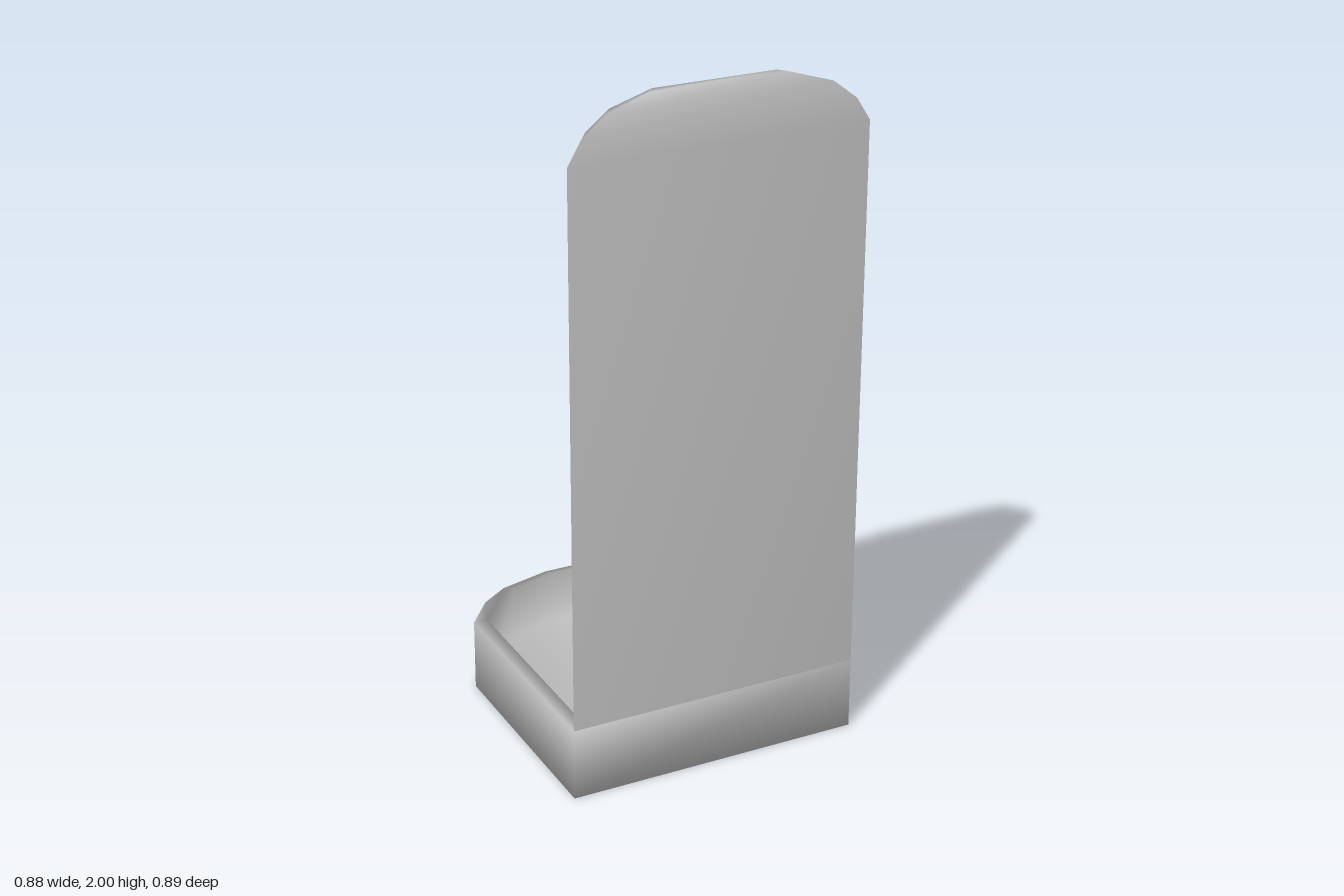
import * as THREE from 'three';

// Skin a stack of rings (anticlockwise seen from above), optionally capped at the start; always capped at the end.
function loft(rings, capStart) {
  const n = rings[0].length, pos = rings.flat(2), idx = [];
  const addCentre = (p) => { pos.push(...p); return pos.length / 3 - 1; };
  const mean = (ring) => [0, 1, 2].map((k) => ring.reduce((s, p) => s + p[k], 0) / n);
  for (let r = 0; r < rings.length - 1; r++) {
    for (let i = 0; i < n; i++) {
      const j = (i + 1) % n;
      const a = r * n + i, b = r * n + j, c = a + n, d = b + n;
      idx.push(a, b, d, a, d, c);
    }
  }
  const last = (rings.length - 1) * n;
  const end = addCentre(mean(rings[rings.length - 1]));
  const start = capStart ? addCentre(mean(rings[0])) : -1;
  for (let i = 0; i < n; i++) {
    const j = (i + 1) % n;
    idx.push(last + i, last + j, end);
    if (capStart) idx.push(j, i, start);
  }
  const g = new THREE.BufferGeometry();
  g.setAttribute('position', new THREE.Float32BufferAttribute(pos, 3));
  g.setIndex(idx);
  g.computeVertexNormals();
  return g;
}

// Mirror a half outline (right half, front to back) into a closed ring at height y
function ring(half, y) {
  const other = half.map(([x, z]) => [-x, z]).reverse();
  return [...half, ...other].map(([x, z]) => [x, y, z]);
}

export function createModel() {
  const group = new THREE.Group();
  const stone = new THREE.MeshStandardMaterial({ color: 0xc0c0c0 });
  stone.name = 'paleGrey';

  const add = (name, geometry) => {
    const mesh = new THREE.Mesh(geometry, stone);
    mesh.name = name;
    group.add(mesh);
  };

  // Hollow basin with a rounded far end
  const outer = [[0.44, 0.445], [0.44, -0.245], [0.36, -0.345], [0.275, -0.403], [0.115, -0.445]];
  const inner = [[0.398, 0.385], [0.398, -0.24], [0.325, -0.332], [0.25, -0.384], [0.105, -0.425]];
  const rimY = 0.215, floorY = 0.05;
  add('basin', loft([ring(outer, 0), ring(outer, rimY), ring(inner, rimY), ring(inner, floorY)], true));

  // Tall panel with bevelled sides and a rounded, thinning top:
  // height, front half width, front z, rear half width, rear z
  const levels = [
    [rimY, 0.44, 0.445, 0.398, 0.385],
    [1.84, 0.44, 0.445, 0.398, 0.385],
    [1.905, 0.4, 0.442, 0.362, 0.388],
    [1.96, 0.33, 0.437, 0.298, 0.393],
    [2.0, 0.2, 0.428, 0.18, 0.401],
  ];
  add('backPanel', loft(levels.map(([y, fx, fz, bx, bz]) => ring([[fx, fz], [bx, bz]], y)), false));

  return group;
}
